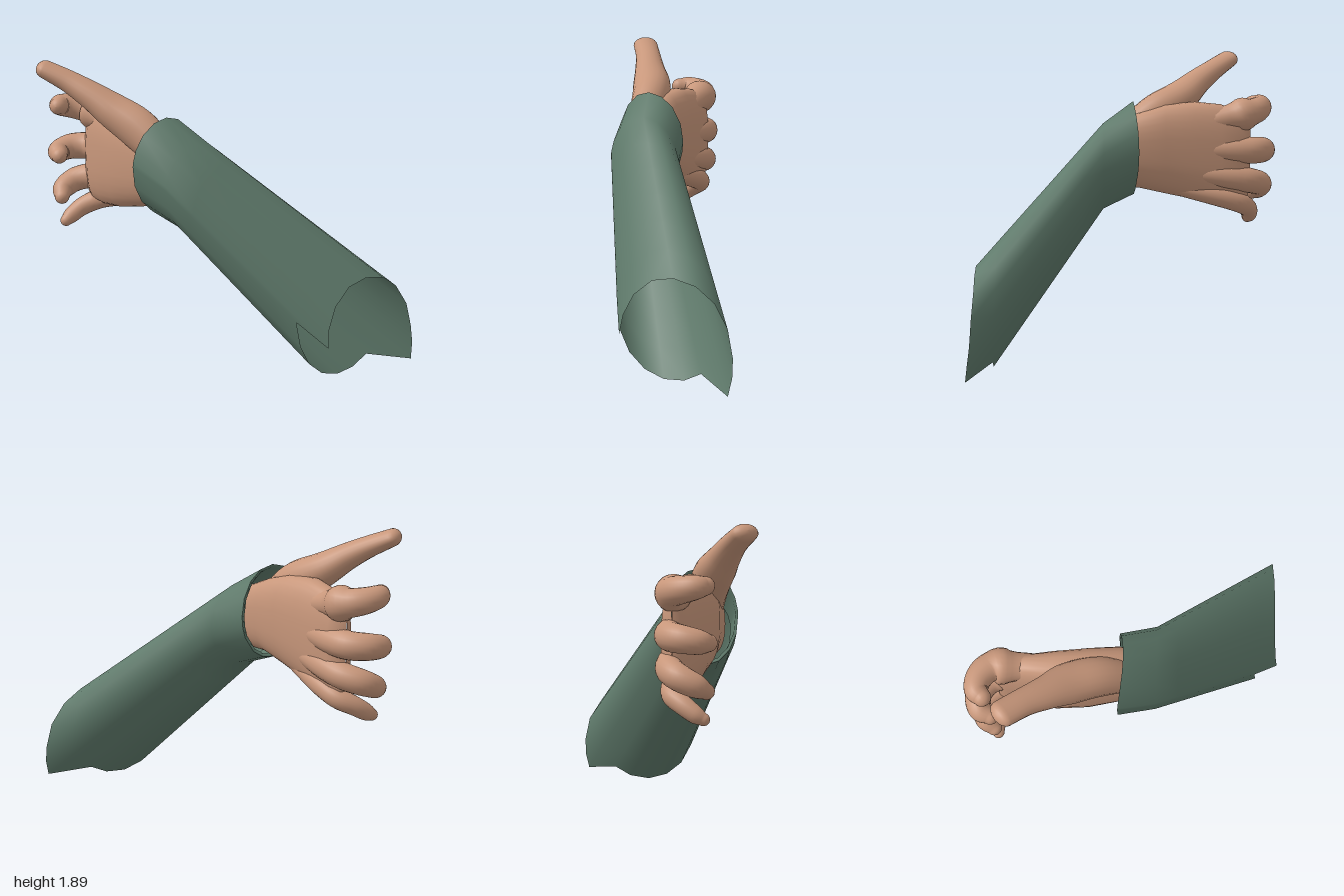
import * as THREE from 'three';

const sleeveMat = new THREE.MeshStandardMaterial({ color: 0x5f7a6b, side: THREE.DoubleSide });
sleeveMat.name = 'green cloth';
const skinMat = new THREE.MeshStandardMaterial({ color: 0xc8977b });
skinMat.name = 'skin';

// Smooth closed skin over rings holding the same number of points
function loft(name, rings, mat) {
  const n = rings[0].length, pos = [], idx = [];
  rings.forEach(r => r.forEach(p => pos.push(p.x, p.y, p.z)));
  for (let i = 0; i < rings.length - 1; i++) {
    for (let j = 0; j < n; j++) {
      const a = i * n + j, b = i * n + (j + 1) % n;
      idx.push(a, a + n, b, b, a + n, b + n);
    }
  }
  const g = new THREE.BufferGeometry();
  g.setAttribute('position', new THREE.Float32BufferAttribute(pos, 3));
  g.setIndex(idx);
  g.computeVertexNormals();
  const mesh = new THREE.Mesh(g, mat);
  mesh.name = name;
  return mesh;
}

// Rounded limb along a curve; points are [x, y, z, width radius, depth radius]
function limb(name, pts, sides = 20, steps = 28) {
  const curve = new THREE.CatmullRomCurve3(pts.map(p => new THREE.Vector3(p[0], p[1], p[2])));
  const radii = new THREE.CatmullRomCurve3(pts.map(p => new THREE.Vector3(p[3], p[4] ?? p[3], 0)));
  const up = new THREE.Vector3(0, 1, 0), rings = [];
  const addRing = (t, scale, push) => {
    const T = curve.getTangent(t), c = curve.getPoint(t), r = radii.getPoint(t);
    const w = T.clone().cross(up).normalize(), d = w.clone().cross(T);
    c.addScaledVector(T, push * Math.min(r.x, r.y));
    rings.push(Array.from({ length: sides }, (_, j) => {
      const a = j / sides * Math.PI * 2;
      return c.clone().addScaledVector(w, Math.cos(a) * r.x * scale).addScaledVector(d, Math.sin(a) * r.y * scale);
    }));
  };
  for (let i = 0; i <= steps; i++) addRing(i / steps, 1, 0);
  // round tip
  for (let k = 1; k <= 6; k++) {
    const a = k / 6 * Math.PI / 2;
    addRing(1, Math.max(Math.cos(a), 0.001), Math.sin(a));
  }
  return loft(name, rings, skinMat);
}

// Sleeve sections: [z, centre x, centre y, radius x, radius y]
const ELBOW = [0.95, 0.44, 0.28, 0.38, 0.385];
const WRIST = [0.16, -0.25, 1.19, 0.25, 0.28];
const CUFF = [-0.06, -0.335, 1.3, 0.24, 0.308];

function onSection(s, a, z = s[0], inset = 0) {
  return new THREE.Vector3(s[1] + Math.cos(a) * (s[3] - inset), s[2] + Math.sin(a) * (s[4] - inset), z);
}

function buildSleeve() {
  const group = new THREE.Group();
  group.name = 'sleeve';
  // torn elbow edge: [angle in degrees, z of the edge]
  const rim = [[0, 0.97], [22, 0.96], [45, 0.95], [67, 0.95], [90, 0.95], [112, 0.95], [135, 0.96],
    [155, 0.975], [170, 0.993], [175, 0.83], [198, 0.845], [220, 0.85], [242, 0.85], [264, 0.85],
    [286, 0.85], [306, 0.85], [332, 0.998], [346, 0.985]];
  const angles = rim.map(r => r[0] * Math.PI / 180);
  const cuffZ = a => -0.07 + 0.03 * Math.sin(a) ** 2;
  const edge = rim.map(([, z], j) => {
    const t = (z - WRIST[0]) / (ELBOW[0] - WRIST[0]);
    return onSection(WRIST.map((v, k) => v + (ELBOW[k] - v) * t), angles[j], z);
  });
  const wrist = angles.map(a => onSection(WRIST, a));
  const rings = [];
  for (let i = 0; i < 6; i++) rings.push(edge.map((p, j) => p.clone().lerp(wrist[j], i / 6)));
  rings.push(wrist, angles.map(a => onSection(CUFF, a, cuffZ(a))));
  group.add(loft('sleeveCloth', rings, sleeveMat));
  // turned-in cuff edge and lining
  group.add(loft('cuffLining', [
    angles.map(a => onSection(CUFF, a, cuffZ(a))),
    angles.map(a => onSection(CUFF, a, cuffZ(a) + 0.005, 0.02)),
    angles.map(a => onSection(WRIST, a, 0.14, 0.03)),
  ], sleeveMat));
  return group;
}

function buildPalm() {
  // sections: [z, centre x, centre y, half width, half height]
  const sections = [[0.12, -0.31, 1.24, 0.13, 0.21], [-0.07, -0.33, 1.285, 0.145, 0.245],
    [-0.25, -0.36, 1.29, 0.148, 0.295], [-0.45, -0.375, 1.275, 0.135, 0.325],
    [-0.62, -0.375, 1.255, 0.108, 0.328], [-0.74, -0.375, 1.235, 0.085, 0.305],
    [-0.8, -0.38, 1.225, 0.05, 0.27], [-0.82, -0.38, 1.22, 0.001, 0.2]];
  const rings = sections.map(([z, x, y, w, h]) => Array.from({ length: 32 }, (_, j) => {
    const a = j / 32 * Math.PI * 2, c = Math.cos(a), s = Math.sin(a);
    const soft = v => Math.sign(v) * Math.abs(v) ** 0.8;
    return new THREE.Vector3(x + soft(c) * w, y + soft(s) * h, z);
  }));
  return loft('palm', rings, skinMat);
}

export function createModel() {
  const model = new THREE.Group();
  model.name = 'arm';
  const hand = new THREE.Group();
  hand.name = 'hand';
  hand.add(buildPalm());

  hand.add(limb('thumb', [[-0.37, 1.37, 0, 0.09, 0.11], [-0.43, 1.52, -0.2, 0.12, 0.13],
    [-0.51, 1.62, -0.36, 0.125, 0.11], [-0.6, 1.715, -0.48, 0.1, 0.085],
    [-0.68, 1.79, -0.59, 0.085, 0.068], [-0.775, 1.86, -0.705, 0.083, 0.055]]));

  // curled fingers
  hand.add(limb('indexFinger', [[-0.34, 1.42, -0.35, 0.06], [-0.37, 1.5, -0.7, 0.088],
    [-0.39, 1.53, -0.83, 0.088], [-0.47, 1.55, -0.89, 0.08], [-0.55, 1.565, -0.895, 0.07],
    [-0.59, 1.57, -0.86, 0.055]]));
  hand.add(limb('middleFinger', [[-0.33, 1.29, -0.35, 0.06], [-0.35, 1.28, -0.73, 0.09],
    [-0.38, 1.275, -0.85, 0.088], [-0.47, 1.27, -0.915, 0.083], [-0.57, 1.255, -0.9, 0.072],
    [-0.605, 1.245, -0.84, 0.052]]));
  hand.add(limb('ringFinger', [[-0.32, 1.14, -0.35, 0.06], [-0.34, 1.1, -0.7, 0.085],
    [-0.37, 1.075, -0.82, 0.083], [-0.45, 1.045, -0.895, 0.08], [-0.55, 1.0, -0.89, 0.07],
    [-0.595, 0.965, -0.84, 0.048]]));
  hand.add(limb('littleFinger', [[-0.33, 1.03, -0.35, 0.05], [-0.34, 0.965, -0.65, 0.07],
    [-0.37, 0.92, -0.765, 0.066], [-0.45, 0.875, -0.82, 0.06], [-0.53, 0.825, -0.835, 0.053],
    [-0.575, 0.8, -0.83, 0.038]]));

  model.add(buildSleeve(), hand);
  return model;
}
